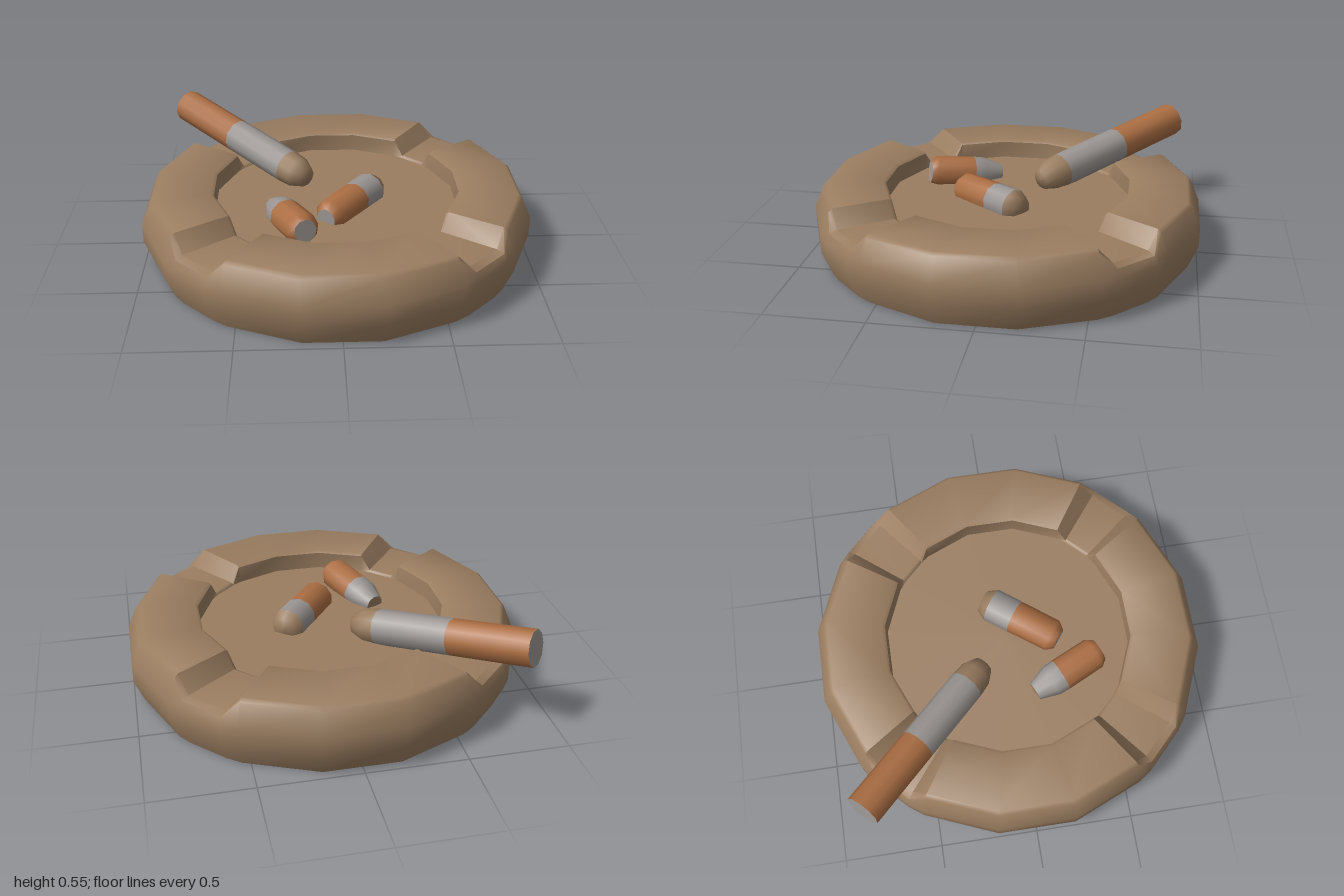
import * as THREE from 'three';
import { toCreasedNormals } from 'three/addons/utils/BufferGeometryUtils.js';

const material = (name, color) => {
  const m = new THREE.MeshStandardMaterial({ color });
  m.name = name;
  return m;
};

// Round dish: 16-sided profile ring with a notch at every diagonal
function dishGeometry() {
  const rim = [[0, 0], [0.97, 0], [1.02, 0.12], [1.02, 0.22], [0.97, 0.335], [0.95, 0.35],
    [0.66, 0.35], [0.645, 0.34], [0.64, 0.25], [0, 0.25]];
  const notch = [[0, 0], [0.97, 0], [1.02, 0.12], [1.02, 0.21], [1.0, 0.255], [0.96, 0.268],
    [0.66, 0.262], [0.648, 0.26], [0.64, 0.25], [0, 0.25]];
  const columns = [];
  for (let q = 0; q < 4; q++) {
    for (const [offset, profile] of [[-11.25, rim], [-6.5, notch], [6.5, notch],
      [11.25, rim], [33.75, rim], [56.25, rim]]) {
      columns.push([THREE.MathUtils.degToRad(45 + q * 90 + offset), profile]);
    }
  }
  const rows = rim.length, n = columns.length, positions = [], index = [];
  for (const [a, profile] of columns) {
    for (const [r, y] of profile) positions.push(r * Math.sin(a), y, r * Math.cos(a));
  }
  for (let i = 0; i < n; i++) {
    for (let j = 0; j < rows - 1; j++) {
      const a = i * rows + j, b = ((i + 1) % n) * rows + j;
      if (j > 0) index.push(a, b, b + 1);
      if (j < rows - 2) index.push(a, b + 1, a + 1);
      else index.push(a, b, a + 1);
    }
  }
  const g = new THREE.BufferGeometry();
  g.setAttribute('position', new THREE.Float32BufferAttribute(positions, 3));
  g.setIndex(index);
  return toCreasedNormals(g, THREE.MathUtils.degToRad(42));
}

export function createModel() {
  const clay = material('clay brown', 0x9a7d60);
  const cork = material('filter orange', 0xab6e43);
  const paper = material('paper grey', 0x9a9592);

  const model = new THREE.Group();
  model.name = 'ashtray';
  const dish = new THREE.Mesh(dishGeometry(), clay);
  dish.name = 'dish';
  model.add(dish);

  // Cigarette running from its filter end to its tip; bands are [name, material, [radius, distance]...]
  function addCigarette(name, from, to, bands) {
    const group = new THREE.Group();
    group.name = name;
    const start = new THREE.Vector3(...from);
    const direction = new THREE.Vector3(...to).sub(start).normalize();
    group.position.copy(start);
    group.quaternion.setFromUnitVectors(new THREE.Vector3(0, 1, 0), direction);
    for (const [part, mat, ...profile] of bands) {
      const points = profile.map(([r, d]) => new THREE.Vector2(r, d));
      const mesh = new THREE.Mesh(new THREE.LatheGeometry(points, 10), mat);
      mesh.name = part;
      group.add(mesh);
    }
    model.add(group);
  }

  // Long one resting in the back right notch
  addCigarette('leaningCigarette', [-0.847, 0.462, -0.835], [-0.155, 0.3, -0.155], [
    ['filterEnd', paper, [0, 0], [0.092, 0]],
    ['filter', cork, [0.092, 0], [0.092, 0.43]],
    ['paper', paper, [0.092, 0.43], [0.092, 0.84]],
    ['burntTip', clay, [0.092, 0.84], [0.086, 0.92], [0.055, 0.985], [0, 0.99]],
  ]);

  // Two stubs lying on the floor of the dish
  addCigarette('middleStub', [-0.06, 0.268, 0.265], [0.2, 0.275, -0.08], [
    ['filterEnd', paper, [0, 0], [0.055, 0]],
    ['filter', cork, [0.055, 0], [0.088, 0.04], [0.09, 0.265]],
    ['paper', paper, [0.09, 0.265], [0.09, 0.405]],
    ['burntTip', clay, [0.09, 0.405], [0.06, 0.455], [0, 0.46]],
  ]);
  addCigarette('sideStub', [-0.165, 0.308, 0.46], [-0.325, 0.26, 0.095], [
    ['filterEnd', paper, [0, 0], [0.06, 0]],
    ['filter', cork, [0.06, 0], [0.086, 0.035], [0.088, 0.24]],
    ['paper', paper, [0.088, 0.24], [0.085, 0.3], [0.05, 0.4]],
    ['burntTip', clay, [0.05, 0.4], [0, 0.405]],
  ]);
  return model;
}
